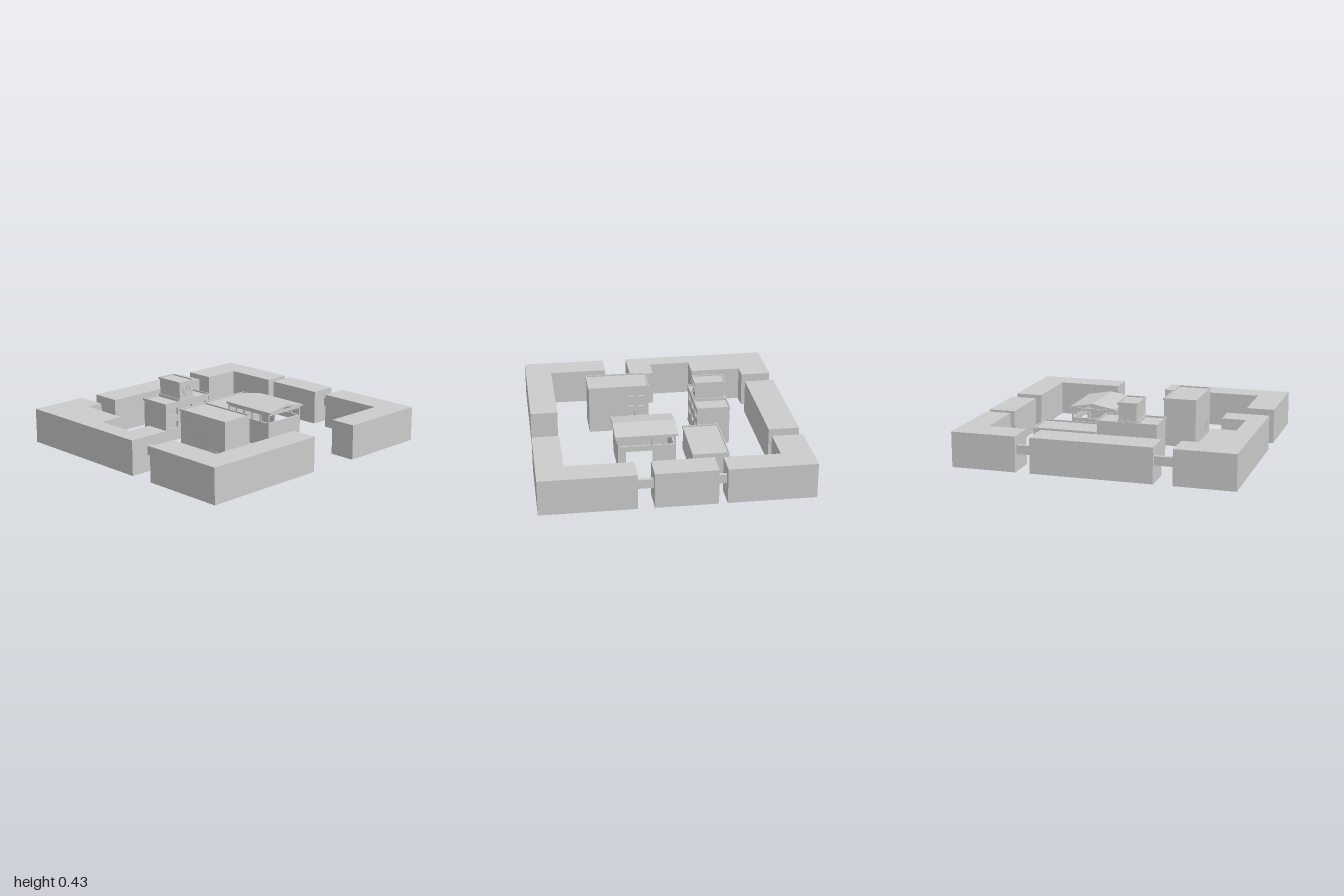
import * as THREE from 'three';

const mat = new THREE.MeshStandardMaterial({ color: 0xcccccc, side: THREE.DoubleSide, flatShading: true });

export function createModel() {
  const root = new THREE.Group();

  const add = (name, geo, parent = root) => {
    const m = new THREE.Mesh(geo, mat);
    m.name = name;
    parent.add(m);
    return m;
  };
  const group = (name) => {
    const g = new THREE.Group();
    g.name = name;
    root.add(g);
    return g;
  };
  // Box given by its limits on each axis
  const box = (name, x0, x1, y0, y1, z0, z1, parent) =>
    add(name, new THREE.BoxGeometry(x1 - x0, y1 - y0, z1 - z0)
      .translate((x0 + x1) / 2, (y0 + y1) / 2, (z0 + z1) / 2), parent);

  // Vertical prism over a ground plan of [x, z] points; the underside may be left open
  const prism = (name, plan, y0, y1, open, parent, hole) => {
    const path = (pts) => pts.map(([x, z]) => new THREE.Vector2(x, -z));
    const shape = new THREE.Shape(path(plan));
    if (hole) shape.holes.push(new THREE.Path(path(hole)));
    const geo = new THREE.ExtrudeGeometry(shape, { depth: y1 - y0, bevelEnabled: false })
      .rotateX(-Math.PI / 2).translate(0, y0, 0);
    if (!open) return add(name, geo, parent);
    const p = geo.attributes.position;
    const kept = [];
    for (let i = 0; i < p.count; i += 3) {
      if (Math.max(p.getY(i), p.getY(i + 1), p.getY(i + 2)) < y0 + 1e-4) continue;
      for (let j = i; j < i + 3; j++) kept.push(p.getX(j), p.getY(j), p.getZ(j));
    }
    const shell = new THREE.BufferGeometry();
    shell.setAttribute('position', new THREE.Float32BufferAttribute(kept, 3));
    shell.computeVertexNormals();
    return add(name, shell, parent);
  };
  const rect = (x0, x1, z0, z1) => [[x0, z0], [x1, z0], [x1, z1], [x0, z1]];
  // Thin raised rim around a flat roof
  const parapet = (x0, x1, z0, z1, y, h, parent, t = 0.008) =>
    prism('parapet', rect(x0, x1, z0, z1), y, y + h, false, parent,
      rect(x0 + t, x1 - t, z0 + t, z1 - t));
  // Upright wall panel in the xy plane with rectangular openings [x0, x1, y0, y1]
  const panel = (x0, x1, y0, y1, t, openings) => {
    const loop = (a, b, c, d) => [[a, c], [b, c], [b, d], [a, d]].map((q) => new THREE.Vector2(...q));
    const s = new THREE.Shape(loop(x0, x1, y0, y1));
    openings.forEach((o) => s.holes.push(new THREE.Path(loop(...o))));
    return new THREE.ExtrudeGeometry(s, { depth: t, bevelEnabled: false });
  };

  // Ring of blocks around the courtyard
  const ring = group('perimeterBlocks');
  const B = 0.005, H = 0.257;
  prism('backRightBlock', [[-1, -0.95], [-0.57, -0.95], [-0.57, -0.73], [-0.69, -0.73], [-0.69, -0.355],
    [-0.865, -0.355], [-0.865, -0.05], [-0.69, -0.05], [-0.69, 0.13], [-1, 0.13]], B, H, true, ring);
  prism('backBlock', rect(-0.435, 0.43, -0.95, -0.73), B, H, true, ring);
  prism('backLeftBlock', [[0.535, -0.95], [1, -0.95], [1, -0.335], [0.812, -0.335], [0.812, -0.73],
    [0.535, -0.73]], B, H, true, ring);
  prism('leftBlock', rect(0.805, 1, -0.275, 0.16), B, H, true, ring);
  prism('frontLeftBlock', [[0.803, 0.272], [1, 0.272], [1, 0.94], [0.333, 0.94], [0.333, 0.748],
    [0.803, 0.748]], B, H, true, ring);
  prism('frontRightBlock', [[-1, 0.312], [-0.797, 0.312], [-0.797, 0.735], [-0.057, 0.735],
    [-0.057, 0.93], [-1, 0.93]], B, H, false, ring);

  // Bridges over the gaps between the blocks
  const bridges = group('bridges');
  [[-0.57, -0.435, -0.92, -0.89], [0.43, 0.535, -0.92, -0.89], [0.915, 0.945, -0.335, -0.275],
    [0.915, 0.945, 0.16, 0.272], [-0.865, -0.83, 0.13, 0.312]]
    .forEach(([x0, x1, z0, z1]) => box('bridge', x0, x1, 0.127, 0.19, z0, z1, bridges));

  // Hall with a clock tower
  const hall = group('clockHall');
  box('hallBody', -0.335, 0.095, B, 0.285, -0.51, -0.287, hall);
  const holes = [];
  for (const x of [-0.26, -0.12, 0.02])
    for (const y of [0.1, 0.2]) holes.push([x - 0.042, x + 0.042, y, y + 0.048]);
  add('windowWall', panel(-0.335, 0.095, B, 0.285, 0.015, holes), hall).position.z = -0.287;
  parapet(-0.342, 0.1, -0.515, -0.268, 0.281, 0.016, hall);
  box('tower', -0.19, -0.057, 0.285, 0.422, -0.495, -0.28, hall);
  box('towerBase', -0.198, -0.05, 0.285, 0.307, -0.503, -0.274, hall);
  box('towerCap', -0.198, -0.05, 0.418, 0.425, -0.503, -0.274, hall);
  parapet(-0.198, -0.05, -0.503, -0.274, 0.424, 0.01, hall);
  const clock = add('clockRim', new THREE.TorusGeometry(0.034, 0.004, 6, 24), hall);
  clock.position.set(-0.124, 0.365, -0.277);
  const hand = add('clockHand', new THREE.BoxGeometry(0.004, 0.026, 0.004), hall);
  hand.position.set(-0.124, 0.376, -0.277);

  // Low hall with a row of rear windows
  const low = group('lowHall');
  prism('lowHallBody', rect(0.14, 0.605, -0.412, -0.16), 0, 0.175, true, low);
  parapet(0.136, 0.609, -0.417, -0.156, 0.17, 0.016, low);
  for (let i = 0; i < 8; i++) {
    const x = 0.362 + i * 0.03;
    box('rearWindow', x, x + 0.022, 0.105, 0.15, -0.422, -0.411, low);
  }

  // Tall block with a roof hut
  const tall = group('tallBlock');
  prism('tallBody', rect(-0.477, -0.255, 0.043, 0.487), 0, 0.345, true, tall);
  const side = [];
  for (const z of [0.075, 0.15])
    for (const y of [0.11, 0.19, 0.27]) side.push([-z - 0.045, -z, y, y + 0.04]);
  const sideWall = add('windowWall', panel(-0.487, -0.043, 0, 0.345, 0.018, side), tall);
  sideWall.rotation.y = Math.PI / 2;
  sideWall.position.x = -0.255;
  sideWall.scale.z = 1;
  parapet(-0.482, -0.233, 0.038, 0.492, 0.341, 0.014, tall);
  box('roofHut', -0.48, -0.387, 0.04, 0.122, 0.34, 0.405, tall);
  box('roofHutCap', -0.482, -0.384, 0.038, 0.124, 0.405, 0.412, tall);
  // Narrow slots on both long sides
  for (const y of [0.12, 0.2, 0.28])
    for (let i = 0; i < 6; i++) {
      const z = 0.23 + i * 0.04;
      box('slot', -0.238, -0.236, y, y + 0.006, z, z + 0.02, tall);
      box('slot', -0.478, -0.476, y, y + 0.006, z - 0.1, z - 0.08, tall);
    }

  // Open market shed with a shallow gable roof on posts
  const shed = group('openShed');
  const gable = new THREE.Shape([[0.097, 0.257], [0.27, 0.287], [0.445, 0.257], [0.445, 0.272],
    [0.27, 0.303], [0.097, 0.272]].map((q) => new THREE.Vector2(...q)));
  add('shedRoof', new THREE.ExtrudeGeometry(gable, { depth: 0.445, bevelEnabled: false }), shed)
    .position.z = -0.08;
  box('frontWall', 0.1, 0.435, B, 0.19, 0.33, 0.345, shed);
  box('rearWall', 0.1, 0.435, B, 0.19, -0.065, -0.05, shed);
  box('rightWall', 0.1, 0.115, B, 0.19, -0.05, 0.33, shed);
  box('leftWallRear', 0.42, 0.435, B, 0.19, -0.05, 0.1, shed);
  box('leftWallFront', 0.42, 0.435, B, 0.19, 0.29, 0.33, shed);
  box('leftLintel', 0.42, 0.435, 0.15, 0.19, 0.1, 0.29, shed);
  for (const x of [0.1, 0.423]) {
    box('eaveBeam', x, x + 0.012, 0.243, 0.262, -0.065, 0.345, shed);
    for (let i = 0; i < 6; i++) {
      const z = -0.065 + i * 0.0796;
      box('post', x, x + 0.012, 0.19, 0.245, z, z + 0.012, shed);
    }
  }
  for (const z of [-0.065, 0.333]) box('crossBeam', 0.1, 0.435, 0.243, 0.262, z, z + 0.012, shed);

  return root;
}
